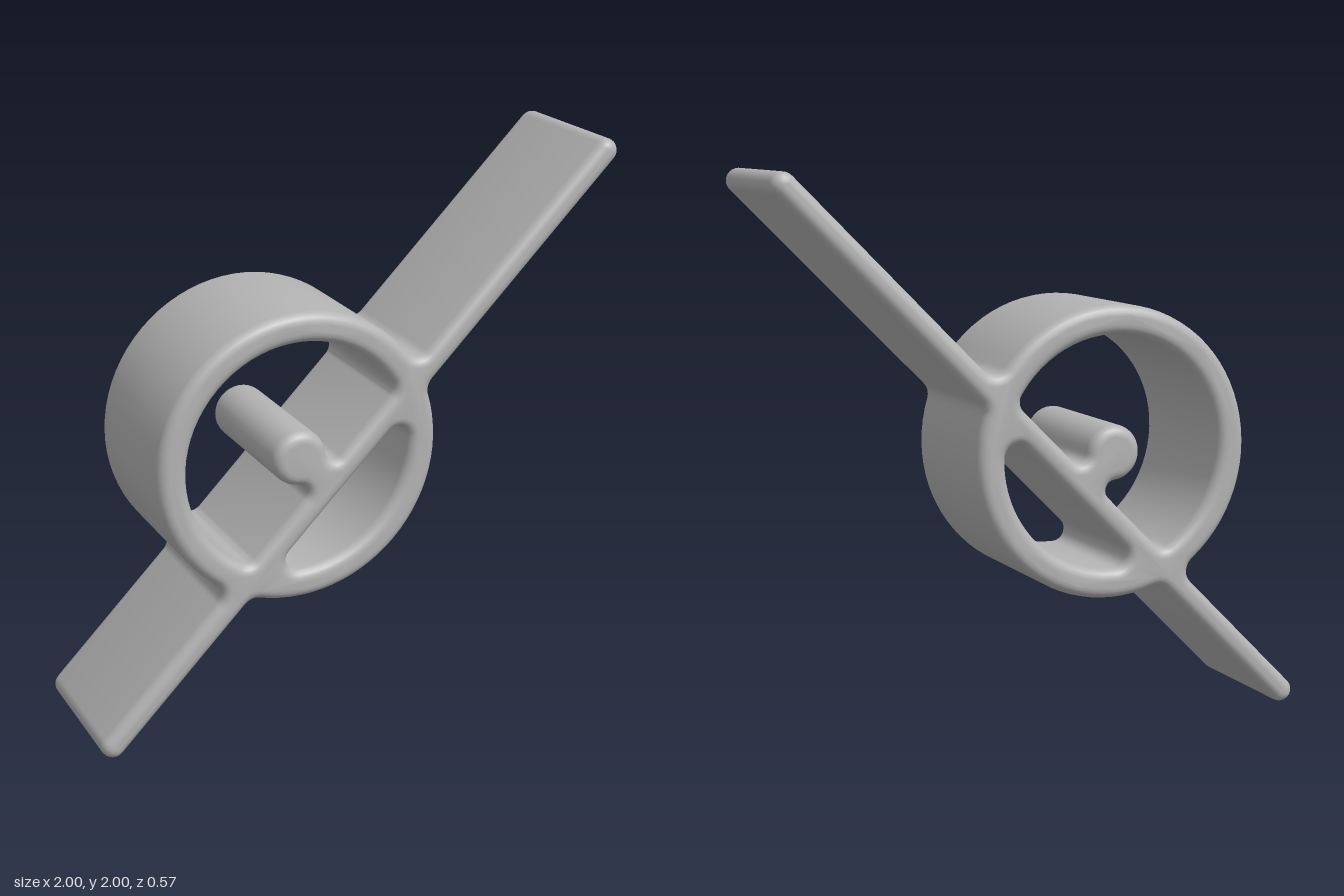
import * as THREE from 'three';
import { toCreasedNormals } from 'three/addons/utils/BufferGeometryUtils.js';

const { PI, sqrt, atan2, cos, sin } = Math;

// Sizes in the bar's own frame: u runs along the bar, v across it
const H = 0.044;             // half thickness of the bar
const END = 1.352;           // centre of the bar's round end
const CU = -0.17, CV = 0.17; // centre of ring and hub
const OUTER = 0.526, INNER = 0.42, HUB = 0.1;
const DEPTH = 0.57, ROUND = 0.038;

// Points on an arc; the angle runs from a0 to a1 in either direction
function arc(u, v, r, a0, a1, n = 8) {
  return Array.from({ length: n + 1 }, (_, i) => {
    const a = a0 + (a1 - a0) * i / n;
    return new THREE.Vector2(u + r * cos(a), v + r * sin(a));
  });
}

// Fillet centre at height v, at distance d from the ring centre
function fillet(v, d) {
  const du = sqrt(d * d - (v - CV) ** 2);
  return { v, left: CU - du, right: CU + du, a: atan2(v - CV, du) };
}

// Joins arcs into one outline without repeated points
function outline(...arcs) {
  const pts = arcs.flat();
  return pts.filter((p, i) => p.distanceTo(pts[(i + 1) % pts.length]) > 1e-4);
}

function bodyShape() {
  const f = 0.055, g = 0.045, k = 0.035; // outer, inner and hub fillet radii

  // Outside: bar ends and the two outer ring arcs
  const t = fillet(H + f, OUTER + f), b = fillet(-H - f, OUTER + f);
  const shape = new THREE.Shape(outline(
    arc(END, 0, H, -PI / 2, PI / 2, 12),
    arc(t.right, t.v, f, 1.5 * PI, PI + t.a),
    arc(CU, CV, OUTER, t.a, PI - t.a, 40),
    arc(t.left, t.v, f, -t.a, -PI / 2),
    arc(-END, 0, H, PI / 2, 1.5 * PI, 12),
    arc(b.left, b.v, f, PI / 2, -b.a),
    arc(CU, CV, OUTER, PI - b.a, 2 * PI + b.a, 28),
    arc(b.right, b.v, f, PI + b.a, PI / 2),
  ));

  // Upper opening, with the hub standing on the bar
  const u = fillet(H + g, INNER - g), h = fillet(H + k, HUB + k);
  shape.holes.push(new THREE.Path(outline(
    arc(u.right, u.v, g, -PI / 2, u.a),
    arc(CU, CV, INNER, u.a, PI - u.a, 40),
    arc(u.left, u.v, g, PI - u.a, 1.5 * PI),
    arc(h.left, h.v, k, -PI / 2, -h.a, 6),
    arc(CU, CV, HUB, PI - h.a, h.a, 24),
    arc(h.right, h.v, k, PI + h.a, 1.5 * PI, 6),
  )));

  // Lower opening
  const l = fillet(-H - g, INNER - g);
  shape.holes.push(new THREE.Path(outline(
    arc(l.left, l.v, g, PI / 2, PI - l.a),
    arc(CU, CV, INNER, PI - l.a, 2 * PI + l.a, 24),
    arc(l.right, l.v, g, l.a, PI / 2),
  )));
  return shape;
}

export function createModel() {
  const group = new THREE.Group();
  group.name = 'ringAndBar';
  const grey = new THREE.MeshStandardMaterial({ color: 0xb4b4b4 });
  grey.name = 'plain grey';

  // Ring, bar and hub fused into one body with rounded rims
  const geometry = new THREE.ExtrudeGeometry(bodyShape(), {
    depth: DEPTH - 2 * ROUND,
    bevelEnabled: true,
    bevelThickness: ROUND,
    bevelSize: ROUND,
    bevelOffset: -ROUND,
    bevelSegments: 5,
  });
  geometry.translate(0, 0, ROUND - DEPTH / 2);
  geometry.rotateZ(PI / 4);
  geometry.translate(0, 1, 0);

  const body = new THREE.Mesh(toCreasedNormals(geometry, 0.8), grey);
  body.name = 'ringBarAndHub';
  group.add(body);
  return group;
}
